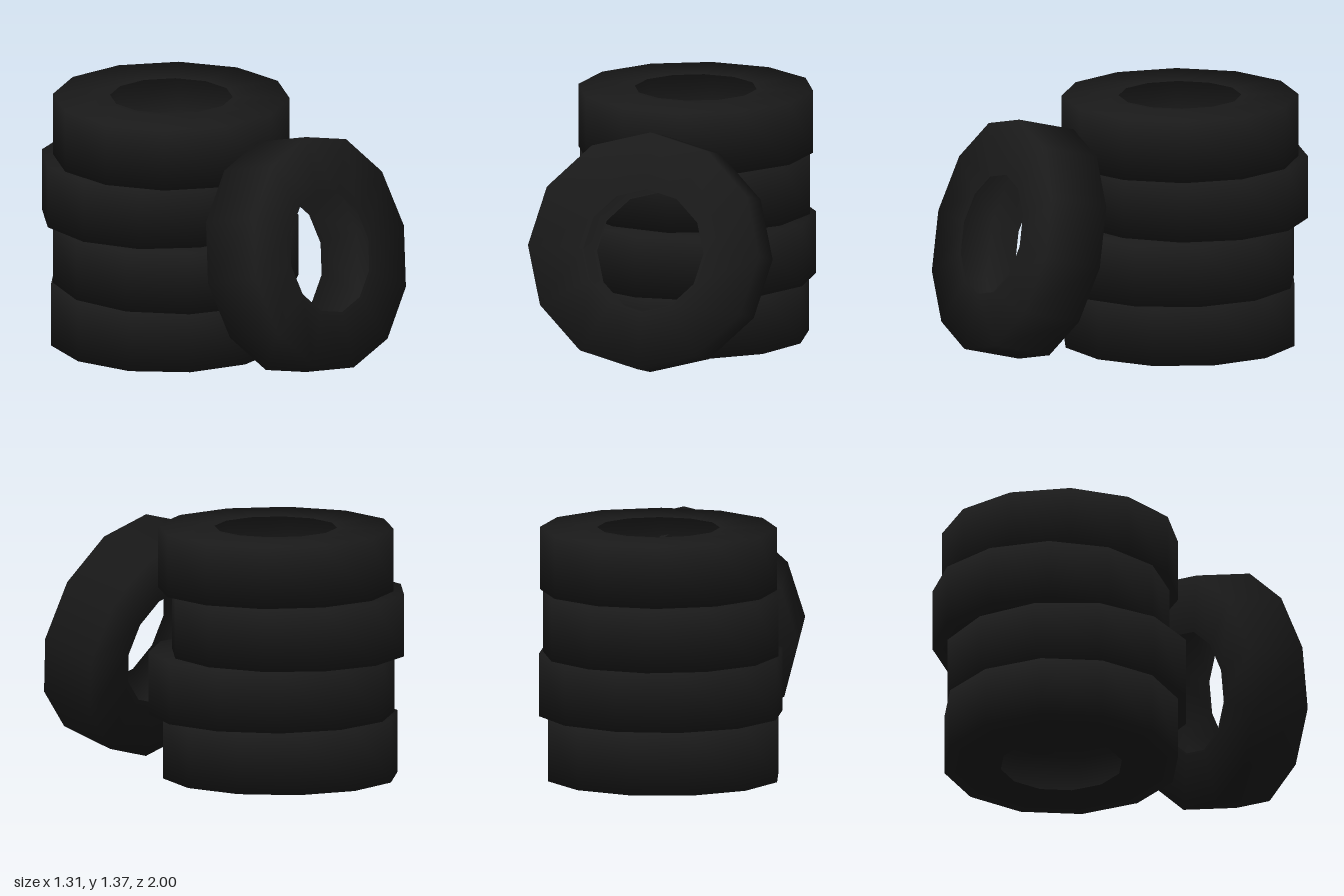
import * as THREE from 'three';

const HEIGHT = 0.342, SIDES = 12;

// Hollow twelve-sided tire, open on the inside: lower wall, tread, upper wall
function tireGeometry(outer, inner) {
  const h = HEIGHT / 2;
  const profile = [[inner, -h], [outer, -h], [outer, h], [inner, h]]
    .map(([r, y]) => new THREE.Vector2(r, y));
  return new THREE.LatheGeometry(profile, SIDES);
}

export function createModel() {
  const model = new THREE.Group();
  model.name = 'tireStack';
  const rubber = new THREE.MeshStandardMaterial({ color: 0x1a1a1a, side: THREE.DoubleSide });
  rubber.name = 'black rubber';
  const deg = THREE.MathUtils.degToRad;

  // Four loosely stacked tires, from the bottom up
  const stack = [
    { x: -0.012, z: -0.295, turn: -10, outer: 0.642, inner: 0.333 },
    { x: 0.007, z: -0.25, turn: 15, outer: 0.668, inner: 0.37 },
    { x: -0.005, z: -0.357, turn: -1, outer: 0.642, inner: 0.333 },
    { x: 0.015, z: -0.287, turn: 5, outer: 0.642, inner: 0.333 },
  ];
  stack.forEach(({ x, z, turn, outer, inner }, i) => {
    const tire = new THREE.Mesh(tireGeometry(outer, inner), rubber);
    tire.name = `stackedTire${i + 1}`;
    tire.position.set(x, 0.005 + HEIGHT * (i + 0.5), z);
    tire.rotation.y = deg(turn);
    model.add(tire);
  });

  // Tire leaning against the front of the stack
  const leaning = new THREE.Mesh(tireGeometry(0.642, 0.333), rubber);
  leaning.name = 'leaningTire';
  leaning.position.set(-0.018, 0.665, 0.673);
  leaning.rotation.x = deg(75);
  model.add(leaning);

  return model;
}
